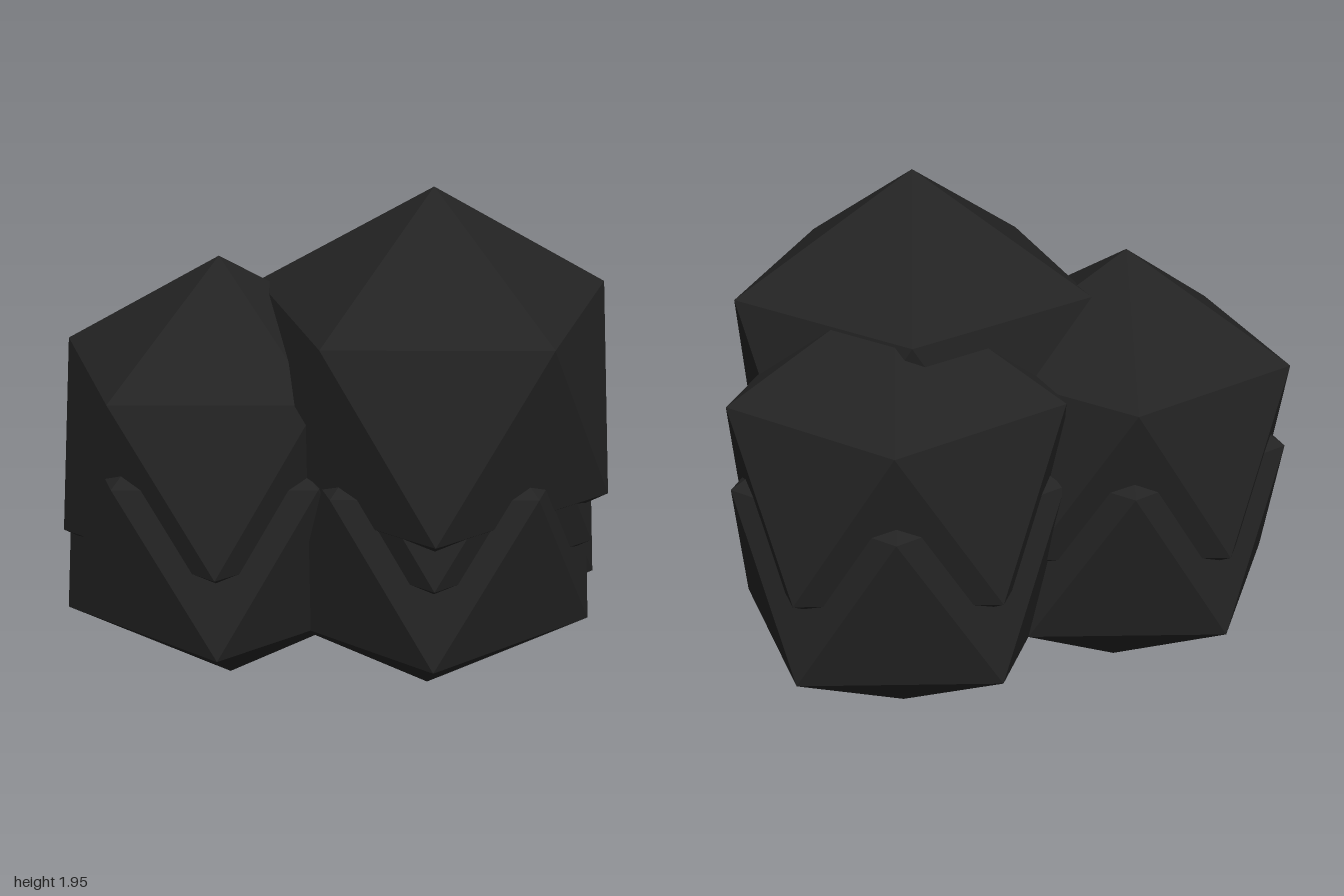
import * as THREE from 'three';

// Faceted lump: a 20-sided solid standing on one corner
function lumpGeometry(radius) {
  const h = radius / Math.sqrt(5), r = 2 * h;
  const ring = (k, offset, y) => {
    const a = ((k % 5) + offset) * Math.PI * 2 / 5;
    return [r * Math.cos(a), y, r * Math.sin(a)];
  };
  const top = [0, radius, 0], base = [0, -radius, 0];
  const corners = [];
  for (let k = 0; k < 5; k++) {
    const u0 = ring(k, 0, h), u1 = ring(k + 1, 0, h);
    const l0 = ring(k, 0.5, -h), l1 = ring(k + 1, 0.5, -h);
    corners.push(top, u1, u0, u0, u1, l0, l0, u1, l1, l0, l1, base);
  }
  const geometry = new THREE.BufferGeometry();
  geometry.setAttribute('position', new THREE.Float32BufferAttribute(corners.flat(), 3));
  geometry.computeVertexNormals();
  return geometry;
}

export function createModel() {
  const model = new THREE.Group();
  model.name = 'rockCluster';
  const charcoal = new THREE.MeshStandardMaterial({ color: 0x232323 });
  charcoal.name = 'charcoal';
  charcoal.flatShading = true;

  const small = lumpGeometry(0.68);
  const large = lumpGeometry(0.738);

  // Three stacks, each a lower and an upper lump overlapping
  const stacks = [
    ['frontStack', -0.28, 0.42],
    ['backStack', -0.05, -0.42],
    ['tallStack', 0.23, -0.145],
  ];
  for (const [name, x, z] of stacks) {
    const stack = new THREE.Group();
    stack.name = name;
    stack.position.set(x, 0, z);
    const addLump = (label, geometry, y) => {
      const lump = new THREE.Mesh(geometry, charcoal);
      lump.name = label;
      lump.position.y = y;
      stack.add(lump);
    };
    addLump('lowerLump', small, 0.685);
    addLump('upperLump', small, 1.0);
    // The tallest stack carries a bigger crown
    if (name === 'tallStack') addLump('crownLump', large, 1.217);
    model.add(stack);
  }
  return model;
}
